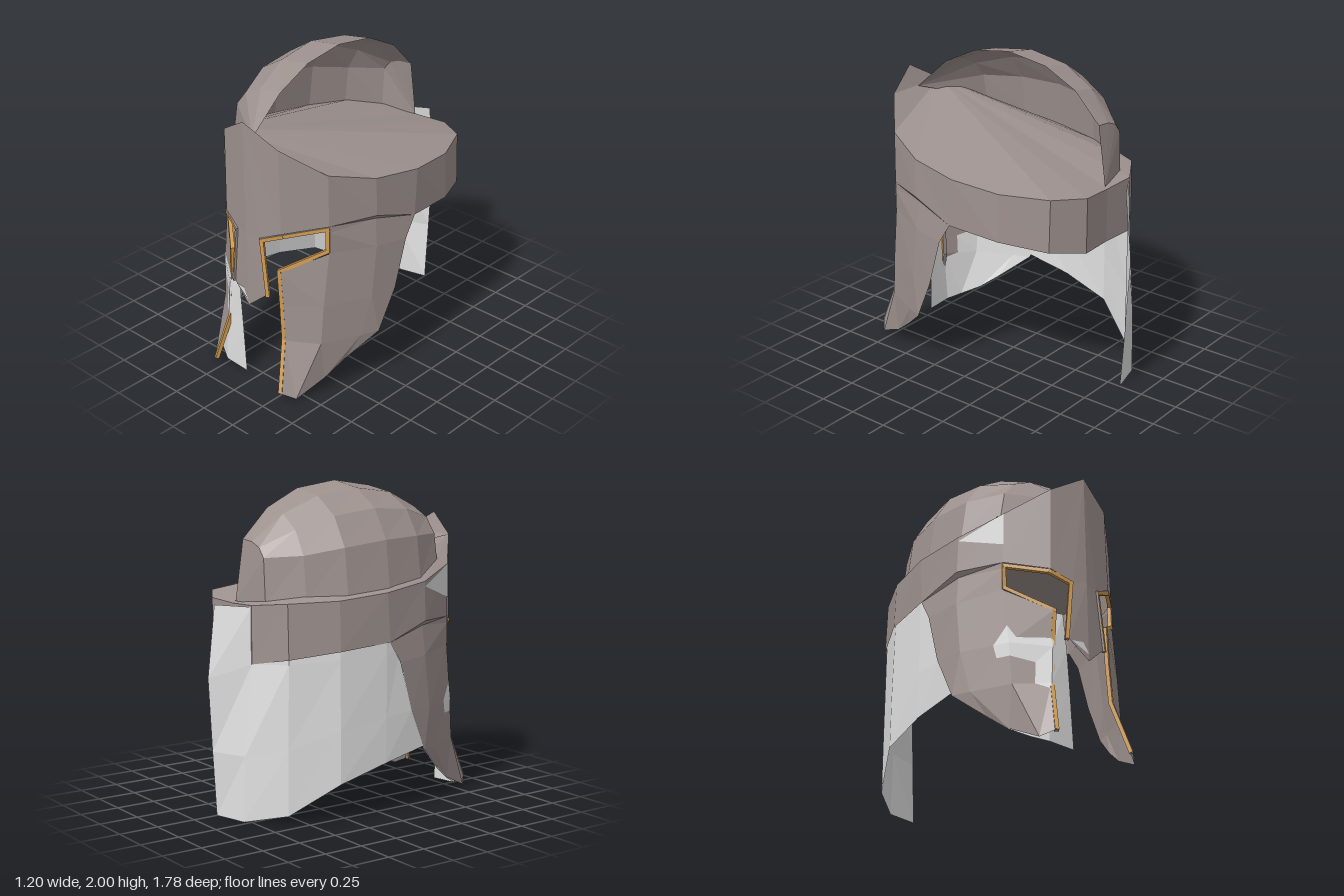
import * as THREE from 'three';

const steel = new THREE.MeshStandardMaterial({ color: 0x9d918e, side: THREE.DoubleSide, flatShading: true });
steel.name = 'warm steel';
const lining = new THREE.MeshStandardMaterial({ color: 0xe0e0e0, side: THREE.DoubleSide, flatShading: true });
lining.name = 'pale lining';
const gold = new THREE.MeshStandardMaterial({ color: 0xcf9a50, flatShading: true });
gold.name = 'gold trim';

// Half outline of the crown edge, from the brow peak to the nape
const top = [[0, 1.77, 0.85], [0.22, 1.64, 0.79], [0.43, 1.48, 0.6], [0.55, 1.4, 0.32], [0.595, 1.36, 0],
  [0.55, 1.33, -0.32], [0.42, 1.32, -0.6], [0.22, 1.3, -0.72], [0, 1.29, -0.71]];
// Lower edge of the band, over the eye and round to the nape
const low = [[0, 1.05, 0.85], [0.23, 1.1, 0.79], [0.435, 1.15, 0.6], [0.56, 1.16, 0.32], [0.598, 1.06, 0.02],
  [0.56, 1.03, -0.32], [0.43, 0.99, -0.6], [0.22, 0.95, -0.72], [0, 0.95, -0.71]];
// Shallow step under the band beside the eye
const step = [[0.435, 1.11, 0.6], [0.54, 1.13, 0.31], [0.598, 1.06, 0.02]];
// Nose guard corners
const noseTop = [0.09, 1.04, 0.83], noseLow = [0.13, 0.66, 0.83], noseTip = [0, 0.55, 0.85];
// Cheek guard rows, each from the face opening to the rear edge
const cheek = [
  [[0.212, 0.835, 0.79], [0.435, 0.97, 0.6], [0.56, 0.95, 0.32], [0.6, 0.93, 0.1]],
  [[0.225, 0.6, 0.785], [0.425, 0.62, 0.64], [0.56, 0.62, 0.36], [0.597, 0.62, 0.19]],
  [[0.24, 0.37, 0.79], [0.42, 0.36, 0.66], [0.53, 0.36, 0.42], [0.577, 0.36, 0.31]],
  [[0.29, 0.05, 0.885], [0.36, 0.01, 0.82], [0.42, 0.1, 0.63], [0.47, 0.2, 0.5]],
];
// Trim path just inside the face opening, from cheek tip round the eye to the nose
const trimPath = [[0.282, 0.055, 0.876], [0.228, 0.37, 0.782], [0.214, 0.6, 0.778], [0.201, 0.838, 0.782],
  [0.424, 0.985, 0.596], [0.424, 1.132, 0.596], [0.23, 1.084, 0.78], [0.103, 1.03, 0.824], [0.143, 0.665, 0.824]];

const mirror = ([x, y, z]) => [-x, y, z];
const behind = (row) => row.map(([x, y, z]) => [x * 0.99, y, z * 0.99]);

// Flat-sided mesh from a list of triangles
function mesh(name, tris, material, flip = false) {
  const g = new THREE.BufferGeometry();
  const pts = tris.flatMap(([a, b, c]) => (flip ? [mirror(a), mirror(c), mirror(b)] : [a, b, c]));
  g.setAttribute('position', new THREE.Float32BufferAttribute(pts.flat(), 3));
  g.computeVertexNormals();
  const m = new THREE.Mesh(g, material);
  m.name = name;
  return m;
}

// Triangles between rows of points
function grid(rows) {
  const tris = [];
  for (let r = 0; r + 1 < rows.length; r++)
    for (let i = 0; i + 1 < rows[r].length; i++) {
      const a = rows[r][i], b = rows[r][i + 1], c = rows[r + 1][i + 1], d = rows[r + 1][i];
      tris.push([a, d, c], [a, c, b]);
    }
  return tris;
}

// Trim of short bars along a path: gold on the front and towards the opening, steel elsewhere
function trim(name, points, side) {
  const group = new THREE.Group();
  group.name = name;
  const v = points.map(([x, y, z]) => new THREE.Vector3(x * side, y, z));
  const faces = [side > 0 ? gold : steel, side > 0 ? steel : gold, gold, steel, steel, steel];
  for (let i = 0; i + 1 < v.length; i++) {
    const dir = v[i + 1].clone().sub(v[i]);
    const bar = new THREE.Mesh(new THREE.BoxGeometry(0.024, 0.024, dir.length() + 0.015), faces);
    bar.name = 'trimBar';
    dir.normalize();
    const front = new THREE.Vector3(side * 0.5, 0, 1).projectOnPlane(dir).normalize();
    const across = new THREE.Vector3().crossVectors(front, dir);
    bar.quaternion.setFromRotationMatrix(new THREE.Matrix4().makeBasis(across, front, dir));
    bar.position.copy(v[i]).lerp(v[i + 1], 0.5);
    group.add(bar);
  }
  return group;
}

export function createModel() {
  const helmet = new THREE.Group();
  helmet.name = 'helmet';

  // Outer shell, both sides
  for (const side of [1, -1]) {
    const s = side > 0 ? 'left' : 'right', flip = side < 0;
    helmet.add(mesh(s + 'Forehead', [
      [top[0], low[1], top[1]], [top[0], noseTop, low[1]], [top[0], low[0], noseTop],
      ...grid([top.slice(1, 3), low.slice(1, 3)]),
    ], steel, flip));
    helmet.add(mesh(s + 'NoseGuard', [[low[0], noseLow, noseTop], [low[0], noseTip, noseLow]], steel, flip));
    helmet.add(mesh(s + 'Band', grid([top.slice(2), low.slice(2)]), steel, flip));
    helmet.add(mesh(s + 'CheekGuard', [
      ...grid([low.slice(2, 5), step, cheek[0].slice(1)]), ...grid(cheek),
    ], steel, flip));
    helmet.add(trim(s + 'FaceTrim', trimPath, side));
  }

  // Cap closing the crown, fanned from one brow corner, with the brow peak
  const rim = [...top.slice(0, 8), ...top.slice(2).reverse().map(mirror)];
  const hub = mirror(top[1]);
  helmet.add(mesh('crownCap', rim.slice(1).map((p, i) => [hub, rim[i], p]), steel));

  // Half dome on the right side: cross-sections of [z, crown height, half width, rim height, squareness]
  const stations = [[0.78, 1.64, 0, 1.64, 1], [0.54, 1.85, 0.4, 1.51, 1], [0.31, 1.96, 0.52, 1.42, 1],
    [0.04, 2, 0.562, 1.37, 1], [-0.24, 1.96, 0.525, 1.34, 1], [-0.46, 1.85, 0.41, 1.32, 0.9],
    [-0.635, 1.67, 0.24, 1.3, 0.4], [-0.69, 1.3, 0, 1.3, 1]];
  const arc = [[0, 1], [0.41, 0.94], [0.73, 0.76], [0.93, 0.47], [1, 0]];
  const sections = arc.map(([w, h]) => stations.map(([z, crown, width, base, square]) =>
    [width * w, base + (crown - base) * h ** square, z]));
  helmet.add(mesh('halfDome', grid(sections), steel, true));

  // Pale neck curtain on the right side, from cheek to nape
  const curtain = [
    [[0.57, 1.32, 0.1], [0.586, 1.32, 0], [0.542, 1.31, -0.315], [0.415, 1.3, -0.593], [0.215, 1.29, -0.717], [0, 1.29, -0.84]],
    [[0.582, 1, 0.1], [0.59, 1, 0], [0.552, 0.98, -0.317], [0.422, 0.96, -0.594], [0.217, 0.95, -0.717], [0, 0.85, -0.89]],
    [[0.588, 0.62, 0.19], [0.59, 0.6, 0], [0.56, 0.55, -0.32], [0.42, 0.45, -0.6], [0.22, 0.4, -0.775], [0, 0.4, -0.865]],
    [[0.57, 0.38, 0.3], [0.585, 0.32, 0], [0.562, 0.23, -0.32], [0.42, 0.05, -0.6], [0.22, 0, -0.785], [0, 0, -0.84]],
  ];
  helmet.add(mesh('neckCurtain', grid(curtain), lining, true));

  // Pale cheek lining: reaches past the face opening and pokes through the steel in the middle
  const lined = [
    [[0.14, 0.83, 0.79], [0.21, 0.83, 0.77], ...behind(cheek[0].slice(1))],
    [[0.125, 0.6, 0.8], [0.225, 0.6, 0.792], [0.427, 0.62, 0.643], ...behind(cheek[1].slice(2))],
    [[0.11, 0.37, 0.8], [0.24, 0.37, 0.797], ...behind(cheek[2].slice(1))],
    [[0.09, 0, 0.8], [0.27, 0.01, 0.8], [0.36, 0.03, 0.75], ...behind(cheek[3].slice(2))],
  ];
  helmet.add(mesh('cheekLining', [
    ...grid([behind(low.slice(2, 5)), behind(step), behind(cheek[0].slice(1))]), ...grid(lined),
  ], lining, true));

  // Small pieces of lining showing at the temple and the nose tip
  helmet.add(mesh('exposedLining', [
    [[0.432, 1.48, 0.603], [0.434, 1.27, 0.605], [0.553, 1.37, 0.323]],
    [[0.115, 0.655, 0.838], [0, 0.59, 0.854], [0.04, 0.66, 0.849]],
  ], lining, true));
  return helmet;
}
